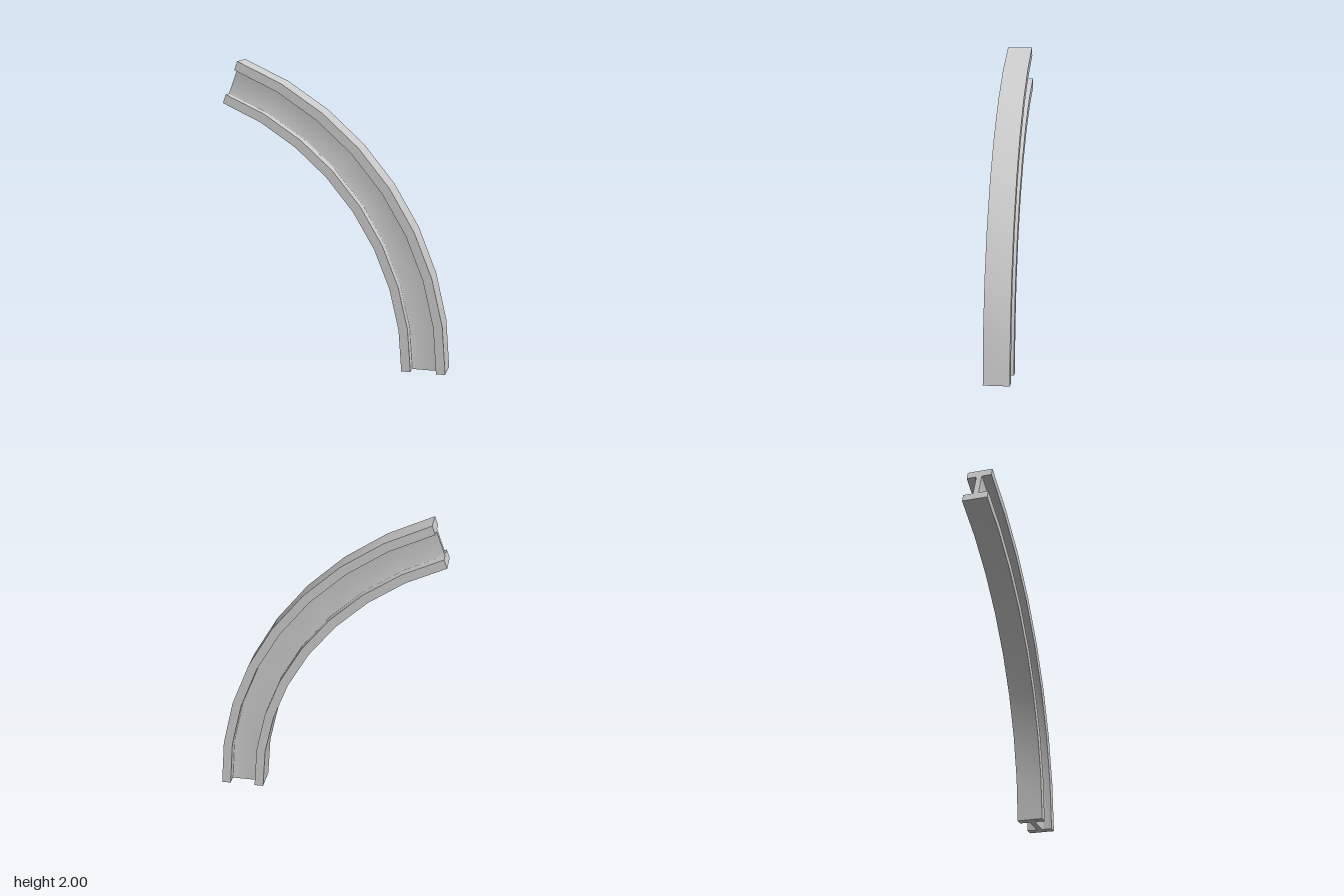
import * as THREE from 'three';
import { toCreasedNormals } from 'three/addons/utils/BufferGeometryUtils.js';

const SEGMENTS = 8;
const ARC = THREE.MathUtils.degToRad(69.4);
const CENTRE_X = -1.396;

// I-beam cross-section: x is the bend radius, y is the depth across the flanges
function beamProfile() {
  const inner = 1.846, innerLip = 1.906, outerLip = 2.076, outer = 2.136;
  const half = 0.083, web = 0.018, f = 0.008;
  const s = new THREE.Shape();
  s.moveTo(inner, -half);
  s.lineTo(innerLip, -half);
  s.lineTo(innerLip, -web - f);
  s.quadraticCurveTo(innerLip, -web, innerLip + f, -web);
  s.lineTo(outerLip - f, -web);
  s.quadraticCurveTo(outerLip, -web, outerLip, -web - f);
  s.lineTo(outerLip, -half);
  s.lineTo(outer, -half);
  s.lineTo(outer, half);
  s.lineTo(outerLip, half);
  s.lineTo(outerLip, web + f);
  s.quadraticCurveTo(outerLip, web, outerLip - f, web);
  s.lineTo(innerLip + f, web);
  s.quadraticCurveTo(innerLip, web, innerLip, web + f);
  s.lineTo(innerLip, half);
  s.lineTo(inner, half);
  return s.getPoints(3);
}

// Sweep the profile around the bend and close both ends
function sweepArc(profile) {
  const n = profile.length, positions = [], index = [];
  for (let i = 0; i <= SEGMENTS; i++) {
    const a = (ARC * i) / SEGMENTS;
    for (const p of profile) {
      positions.push(CENTRE_X + p.x * Math.cos(a), p.x * Math.sin(a), p.y);
    }
  }
  for (let i = 0; i < SEGMENTS; i++) {
    for (let j = 0; j < n; j++) {
      const a = i * n + j, b = i * n + ((j + 1) % n);
      index.push(a, a + n, b + n, a, b + n, b);
    }
  }
  const end = SEGMENTS * n;
  for (const [a, b, c] of THREE.ShapeUtils.triangulateShape(profile, [])) {
    index.push(a, b, c, end + a, end + c, end + b);
  }
  const geometry = new THREE.BufferGeometry();
  geometry.setAttribute('position', new THREE.Float32BufferAttribute(positions, 3));
  geometry.setIndex(index);
  return toCreasedNormals(geometry, 0.6);
}

export function createModel() {
  const model = new THREE.Group();
  model.name = 'curvedBeam';
  const beam = new THREE.Mesh(
    sweepArc(beamProfile()),
    new THREE.MeshStandardMaterial({ color: 0xcccccc })
  );
  beam.name = 'bentIBeam';
  model.add(beam);
  return model;
}
